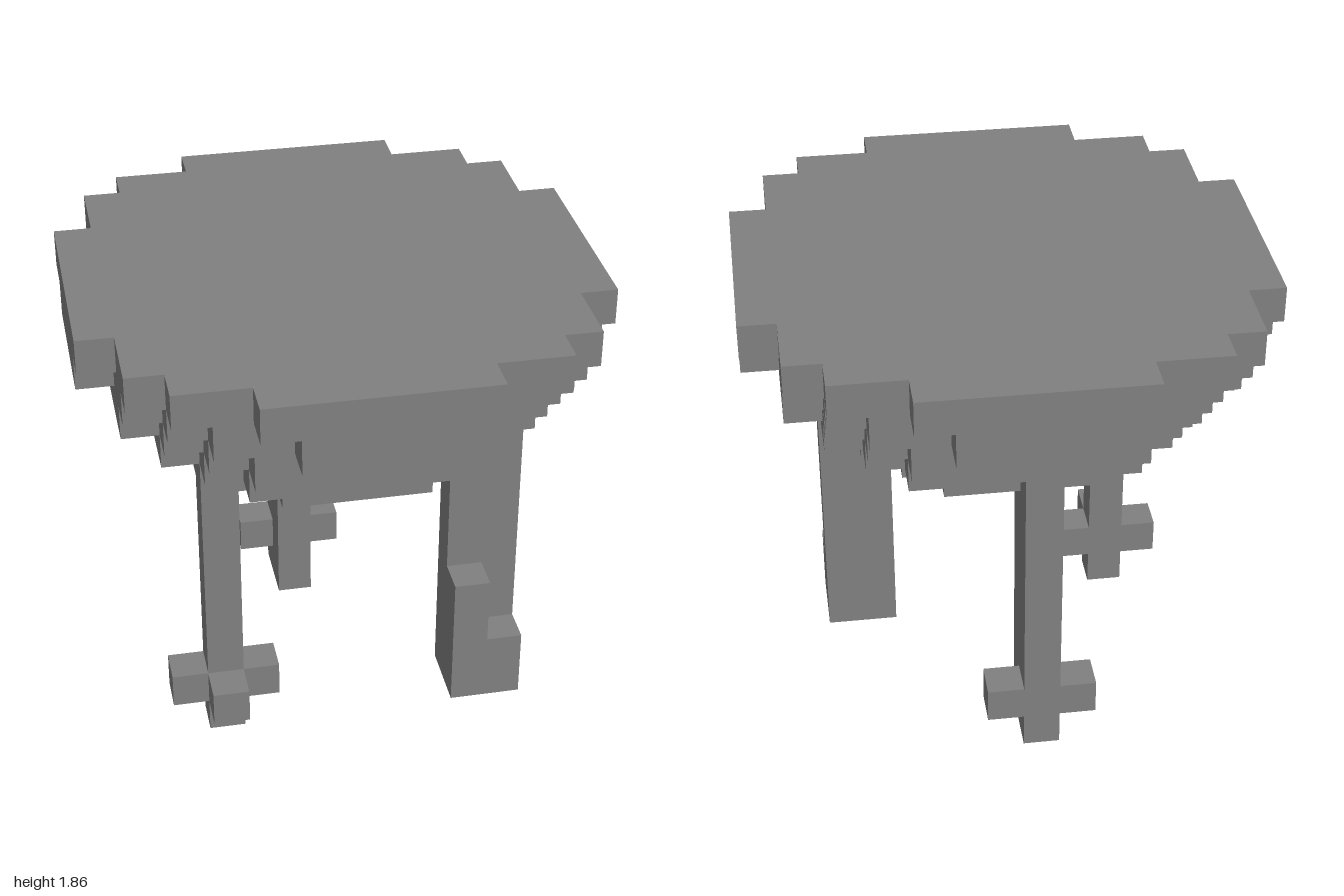
import * as THREE from 'three';

const U = 1 / 7; // size of one block

const grey = new THREE.MeshStandardMaterial({ color: 0x808080 });
grey.name = 'stone grey';

// Stepped disc: all blocks whose centre lies within the radius
function discShape(r2) {
  const width = (row) => {
    let n = 0;
    while ((n + 0.5) ** 2 + (row + 0.5) ** 2 <= r2) n++;
    return n;
  };
  const quarter = [];
  for (let row = 0; width(row) > 0; row++) {
    const w = width(row), next = width(row + 1);
    if (w === next) continue;
    quarter.push([w, row + 1]);
    if (next > 0) quarter.push([next, row + 1]);
  }
  const mirrored = [...quarter].reverse();
  const outline = [
    ...quarter,
    ...mirrored.map(([x, y]) => [-x, y]),
    ...quarter.map(([x, y]) => [-x, -y]),
    ...mirrored.map(([x, y]) => [x, -y]),
  ];
  return new THREE.Shape(outline.map(([x, y]) => new THREE.Vector2(x * U, y * U)));
}

// Box given by its limits in blocks
function block(name, x0, x1, y0, y1, z0, z1) {
  const geo = new THREE.BoxGeometry((x1 - x0) * U, (y1 - y0) * U, (z1 - z0) * U);
  geo.translate((x0 + x1) * U / 2, (y0 + y1) * U / 2, (z0 + z1) * U / 2);
  const mesh = new THREE.Mesh(geo, grey);
  mesh.name = name;
  return mesh;
}

function part(name, ...meshes) {
  const group = new THREE.Group();
  group.name = name;
  group.add(...meshes);
  return group;
}

export function createModel() {
  const model = new THREE.Group();
  model.name = 'blockStool';

  // Seat: lower slice of a block sphere, one stepped disc per layer
  const seat = new THREE.Group();
  seat.name = 'seat';
  for (let layer = 7; layer <= 12; layer++) {
    const r2 = 59 - (14.5 - layer) ** 2;
    const geo = new THREE.ExtrudeGeometry(discShape(r2), { depth: U, bevelEnabled: false });
    geo.rotateX(-Math.PI / 2);
    geo.translate(0, layer * U, 0);
    const disc = new THREE.Mesh(geo, grey);
    disc.name = 'seatLayer' + (layer - 6);
    seat.add(disc);
  }
  model.add(seat);

  // Thick front left leg with a stepped foot
  model.add(part('frontLeftLeg',
    block('post', 3, 5, 0, 9, 1, 2),
    block('footHighStep', 3, 4, 0, 4, 2, 3),
    block('footLowStep', 4, 5, 0, 2, 2, 3)));

  // Thin front right leg with three toes
  model.add(part('frontRightLeg',
    block('post', -4, -3, 0, 9, 2, 3),
    block('outerToe', -5, -4, 1, 2, 2, 3),
    block('innerToe', -3, -2, 1, 2, 2, 3),
    block('frontToe', -4, -3, 1, 2, 3, 4)));

  // Back leg with a toe on each side
  model.add(part('backLeg',
    block('post', -1, 0, 0, 9, -5, -3),
    block('rightToe', -2, -1, 1, 2, -5, -4),
    block('leftToe', 0, 1, 1, 2, -5, -4)));

  return model;
}
